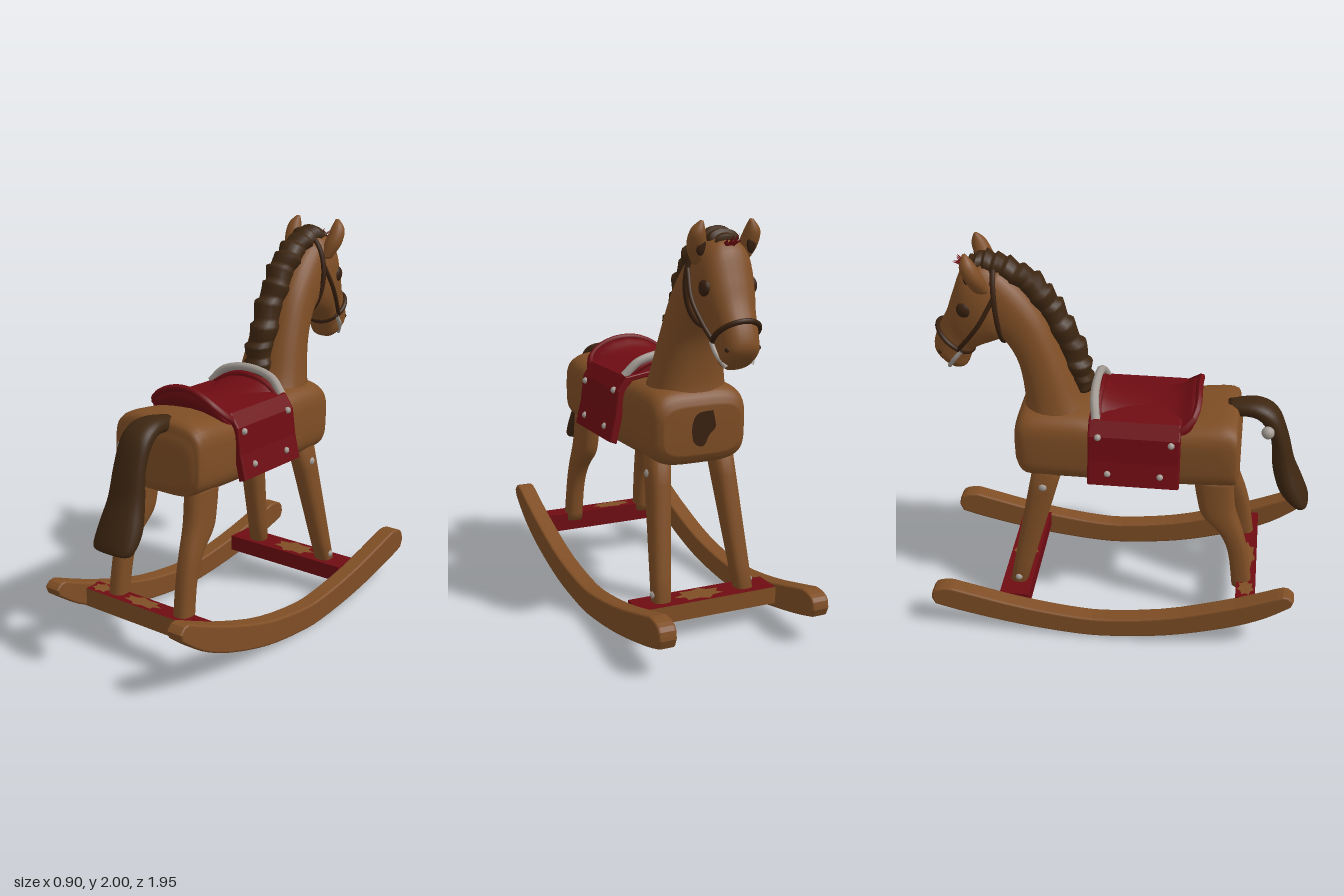
import * as THREE from 'three';

const mat = (name, color, side = THREE.FrontSide) => {
  const m = new THREE.MeshStandardMaterial({ color, side });
  m.name = name;
  return m;
};

// Closed skin over cross-sections [zA, yA, zB, yB, halfWidth, xCentre]; A and B are opposite edges.
function loft(sections, { power = 2, sub = 4, n = 28 } = {}) {
  const S = [];
  const last = sections.length - 1;
  const cr = (a, b, c, d, t) => 0.5 * (2 * b + (c - a) * t + (2 * a - 5 * b + 4 * c - d) * t * t + (3 * b - a - 3 * c + d) * t * t * t);
  for (let i = 0; i < last; i++) {
    for (let k = 0; k < sub; k++) {
      const q = [i - 1, i, i + 1, i + 2].map(j => sections[Math.min(last, Math.max(0, j))]);
      S.push([0, 1, 2, 3, 4, 5].map(e => cr(...q.map(s => s[e] ?? 0), k / sub)));
    }
  }
  S.push([0, 1, 2, 3, 4, 5].map(e => sections[last][e] ?? 0));
  const pos = [], idx = [];
  const f = v => Math.sign(v) * Math.pow(Math.abs(v), 2 / power);
  for (const [za, ya, zb, yb, w, x] of S) {
    for (let j = 0; j < n; j++) {
      const t = j / n * Math.PI * 2, u = f(Math.cos(t)), v = f(Math.sin(t));
      pos.push(x + w * u, (ya + yb) / 2 + (ya - yb) / 2 * v, (za + zb) / 2 + (za - zb) / 2 * v);
    }
  }
  for (const s of [S[0], S[S.length - 1]]) pos.push(s[5], (s[1] + s[3]) / 2, (s[0] + s[2]) / 2);
  // facing follows the direction in which the sections advance
  let hand = 0;
  for (let i = 1; i < S.length; i++) {
    const a = S[i - 1], b = S[i];
    hand += -(b[0] - b[2]) * (b[1] + b[3] - a[1] - a[3]) + (b[1] - b[3]) * (b[0] + b[2] - a[0] - a[2]);
  }
  const tri = (a, b, c) => hand > 0 ? idx.push(a, b, c) : idx.push(a, c, b);
  const m = S.length, c0 = m * n;
  for (let j = 0; j < n; j++) {
    const k = (j + 1) % n;
    for (let i = 0; i < m - 1; i++) {
      tri(i * n + j, i * n + k, (i + 1) * n + j);
      tri(i * n + k, (i + 1) * n + k, (i + 1) * n + j);
    }
    tri(c0, k, j);
    tri(c0 + 1, (m - 1) * n + j, (m - 1) * n + k);
  }
  const g = new THREE.BufferGeometry();
  g.setAttribute('position', new THREE.Float32BufferAttribute(pos, 3));
  g.setIndex(idx);
  g.computeVertexNormals();
  return g;
}

const tube = (pts, r, closed = false) => new THREE.TubeGeometry(
  new THREE.CatmullRomCurve3(pts.map(p => new THREE.Vector3(...p)), closed), 48, r, 8, closed);

// Loop lying on an elliptical section from A to B
const ring = (za, ya, zb, yb, w) => Array.from({ length: 20 }, (_, j) => {
  const t = j / 20 * Math.PI * 2, s = Math.sin(t) / 2;
  return [w * Math.cos(t), (ya + yb) / 2 + (ya - yb) * s, (za + zb) / 2 + (za - zb) * s];
});

export function createModel() {
  const group = new THREE.Group();
  const wood = mat('wood', 0x7f4e25);
  const hair = mat('dark hair', 0x3d2611);
  const red = mat('red paint', 0x6e0c12, THREE.DoubleSide);
  const leather = mat('dark leather', 0x38200f, THREE.DoubleSide);
  const metal = mat('metal', 0xa39b94);
  const add = (name, geo, material, x = 0, y = 0, z = 0) => {
    const m = new THREE.Mesh(geo, material);
    m.name = name;
    m.position.set(x, y, z);
    group.add(m);
    return m;
  };
  const ball = r => new THREE.SphereGeometry(r, 14, 10);

  // Body, neck and head
  add('body', loft([
    [0.617, 1.08, 0.617, 0.89, 0.2], [0.605, 1.14, 0.605, 0.855, 0.24], [0.56, 1.205, 0.57, 0.835, 0.268],
    [0.3, 1.185, 0.3, 0.822, 0.262], [0, 1.175, 0, 0.815, 0.25], [-0.2, 1.2, -0.2, 0.815, 0.25],
    [-0.4, 1.2, -0.4, 0.818, 0.252], [-0.48, 1.17, -0.47, 0.83, 0.24], [-0.51, 1.11, -0.505, 0.88, 0.2],
  ], { power: 4, n: 48 }), wood);
  add('neck', loft([
    [-0.1, 1.1, -0.49, 1.1, 0.21], [-0.18, 1.23, -0.475, 1.22, 0.182], [-0.26, 1.44, -0.5, 1.4, 0.155],
    [-0.35, 1.65, -0.565, 1.52, 0.138], [-0.46, 1.8, -0.64, 1.58, 0.128], [-0.58, 1.9, -0.7, 1.7, 0.11],
  ], { power: 2.4 }), wood);
  add('head', loft([
    [-0.55, 1.87, -0.55, 1.62, 0.08], [-0.64, 1.925, -0.57, 1.53, 0.125], [-0.75, 1.895, -0.62, 1.5, 0.135],
    [-0.81, 1.76, -0.69, 1.47, 0.122], [-0.85, 1.65, -0.73, 1.44, 0.105], [-0.905, 1.54, -0.745, 1.4, 0.095],
    [-0.924, 1.46, -0.765, 1.355, 0.088], [-0.9, 1.41, -0.8, 1.34, 0.06],
  ], { power: 2.4 }), wood);

  // Scalloped mane: outer and inner edges sampled along the neck
  const edge = pts => new THREE.CatmullRomCurve3(pts.map(p => new THREE.Vector3(0, p[1], p[0])));
  const outer = edge([[-0.13, 1.25], [-0.15, 1.43], [-0.26, 1.68], [-0.37, 1.84], [-0.52, 1.93], [-0.64, 1.965], [-0.73, 1.93]]);
  const inner = edge([[-0.22, 1.25], [-0.3, 1.43], [-0.38, 1.62], [-0.48, 1.76], [-0.58, 1.84], [-0.66, 1.86], [-0.72, 1.88]]);
  const maneRows = [];
  for (let i = 0; i <= 78; i++) {
    const t = i / 78, a = outer.getPoint(t), b = inner.getPoint(t);
    const k = 0.9 + 0.18 * (i % 6) / 6;
    maneRows.push([b.z + (a.z - b.z) * k, b.y + (a.y - b.y) * k, b.z, b.y,
      0.075 * (0.84 + 0.2 * (i % 6) / 6) * (i > 72 ? 0.75 : 1), 0.006 * Math.sin(i * 0.5)]);
  }
  add('mane', loft(maneRows, { sub: 1, n: 18 }), hair);

  // Tail
  add('tail', loft([
    [0.54, 1.21, 0.54, 1.13, 0.05, 0.02], [0.68, 1.225, 0.66, 1.14, 0.075, 0.02], [0.79, 1.17, 0.72, 1.1, 0.085, 0.02],
    [0.85, 1.03, 0.765, 1.0, 0.088, 0.02], [0.89, 0.88, 0.78, 0.85, 0.1, 0.02],
    [0.94, 0.76, 0.82, 0.72, 0.12, 0.02], [0.978, 0.66, 0.89, 0.645, 0.115, 0.02], [0.965, 0.64, 0.93, 0.63, 0.07, 0.02],
  ], { power: 2.3 }), hair);
  add('tailPin', ball(0.033), metal, -0.07, 1.09, 0.745);

  // Chest patch
  const patch = new THREE.Shape(new THREE.SplineCurve([[-0.05, 1.09], [0.03, 1.08], [0.06, 1.02], [0.05, 0.94], [0, 0.92],
    [-0.03, 0.97], [-0.065, 1.01], [-0.05, 1.09]].map(p => new THREE.Vector2(...p))).getPoints(30));
  add('chestPatch', new THREE.ShapeGeometry(patch), leather, 0, 0, -0.515);

  for (const s of [-1, 1]) {
    // Legs
    add('rearLeg', loft([
      [0.59, 0.88, 0.39, 0.88, 0.055, s * 0.185], [0.6, 0.76, 0.41, 0.76, 0.056, s * 0.188], [0.615, 0.68, 0.44, 0.66, 0.056, s * 0.192],
      [0.655, 0.56, 0.525, 0.57, 0.05, s * 0.2], [0.685, 0.44, 0.58, 0.45, 0.046, s * 0.205], [0.715, 0.24, 0.61, 0.24, 0.046, s * 0.21],
    ], { power: 2.6, n: 20 }), wood);
    add('frontLeg', loft([
      [-0.27, 0.88, -0.425, 0.88, 0.06, s * 0.165], [-0.475, 0.15, -0.565, 0.15, 0.046, s * 0.225],
    ], { power: 2.6, n: 20 }), wood);
    add('upperLegBolt', ball(0.026), metal, s * 0.215, 0.775, -0.37);
    add('lowerLegBolt', ball(0.02), metal, s * 0.258, 0.21, -0.51);

    // Ears, eyes and nostrils
    add('ear', loft([
      [-0.61, 1.8, -0.69, 1.8, 0.03, s * 0.1], [-0.63, 1.88, -0.72, 1.87, 0.045, s * 0.127],
      [-0.67, 1.96, -0.74, 1.94, 0.036, s * 0.137], [-0.71, 2.0, -0.725, 1.995, 0.01, s * 0.125],
    ], { n: 16 }), wood);
    add('innerEar', ball(1), leather, s * 0.127, 1.9, -0.712).scale.set(0.026, 0.055, 0.018);
    add('eye', ball(1), leather, s * 0.113, 1.705, -0.735).scale.set(0.028, 0.042, 0.042);
    add('nostril', ball(0.013), leather, s * 0.076, 1.45, -0.88);

    // Bridle cheek strap and bit
    add('cheekStrap', tube([[s * 0.128, 1.78, -0.59], [s * 0.143, 1.65, -0.66], [s * 0.125, 1.55, -0.73], [s * 0.102, 1.48, -0.785]], 0.011), leather);
    add('bit', tube([[s * 0.1, 1.47, -0.77], [s * 0.094, 1.42, -0.81], [s * 0.064, 1.365, -0.845]], 0.011), metal);

    // Saddle studs
    for (const [z, y, x] of [[0.28, 1.11, 0.277], [-0.08, 1.13, 0.273], [0.23, 0.94, 0.302], [-0.03, 0.94, 0.302]])
      add('saddleStud', ball(0.017), metal, s * x, y, z);
  }
  add('browBand', tube(ring(-0.6, 1.925, -0.565, 1.5, 0.135), 0.013, true), leather);
  add('noseBand', tube(ring(-0.9, 1.575, -0.735, 1.435, 0.107), 0.013, true), leather);

  // Red forelock tuft
  for (let i = 0; i < 6; i++) {
    const tuft = add('forelock', new THREE.ConeGeometry(0.018, 0.11, 6), red, 0.018 * (i % 3 - 1), 1.895, -0.75);
    tuft.rotation.set(-0.5 - 0.22 * i, 0, 0.3 * (1 - i % 3));
  }

  // Saddle cloth draped over the back
  const half = [[0.312, 0.885], [0.285, 1.0], [0.268, 1.13], [0.225, 1.195], [0.1, 1.215]];
  const under = half.map(([x, y]) => [x - 0.028, y - 0.012]).reverse();
  const flip = a => a.map(([x, y]) => [-x, y]).reverse();
  const cloth = new THREE.Shape([...half, ...flip(half), ...flip(under), ...under].map(p => new THREE.Vector2(...p)));
  add('saddleCloth', new THREE.ExtrudeGeometry(cloth, { depth: 0.435, bevelSize: 0.006, bevelThickness: 0.01, bevelSegments: 2 }), red, 0, 0, -0.12);

  // Padded seat, bent down at the sides
  const droop = g => {
    const p = g.attributes.position;
    for (let i = 0; i < p.count; i++) p.setY(i, p.getY(i) - 1.5 * p.getX(i) ** 2);
    g.computeVertexNormals();
    return g;
  };
  add('seat', droop(loft([
    [0.4, 1.29, 0.4, 1.25, 0.16], [0.37, 1.295, 0.37, 1.21, 0.22], [0.3, 1.255, 0.3, 1.17, 0.24], [0.18, 1.235, 0.18, 1.15, 0.248],
    [0.05, 1.24, 0.05, 1.15, 0.248], [-0.05, 1.255, -0.05, 1.16, 0.24], [-0.1, 1.275, -0.1, 1.19, 0.2],
  ], { power: 3 })), red);
  add('seatPiping', droop(tube([[-0.2, 1.285, 0.38], [0, 1.3, 0.395], [0.2, 1.285, 0.38], [0.24, 1.24, 0.28], [0.25, 1.22, 0.1], [0.23, 1.25, -0.07],
    [0, 1.27, -0.09], [-0.23, 1.25, -0.07], [-0.25, 1.22, 0.1], [-0.24, 1.24, 0.28]], 0.018, true)), red);
  add('pommel', tube([[-0.225, 1.2, -0.095], [-0.15, 1.27, -0.11], [0, 1.3, -0.115], [0.15, 1.27, -0.11], [0.225, 1.2, -0.095]], 0.022), metal);

  // Rockers: curved boards, the right one slightly longer
  const curve = pts => new THREE.SplineCurve(pts.map(([z, y]) => new THREE.Vector2(-z, y))).getPoints(32);
  const board = new THREE.Shape([
    ...curve([[0.94, 0.325], [0.8, 0.225], [0.6, 0.135], [0.3, 0.05], [0, 0.012], [-0.2, 0.013], [-0.5, 0.05], [-0.8, 0.113], [-0.95, 0.155]]),
    ...curve([[-0.965, 0.19], [-0.95, 0.24], [-0.88, 0.258], [-0.8, 0.24], [-0.5, 0.165], [-0.2, 0.118], [0, 0.115], [0.3, 0.16], [0.6, 0.255], [0.8, 0.335], [0.91, 0.38], [0.95, 0.355]]),
  ]);
  const rocker = () => new THREE.ExtrudeGeometry(board, { depth: 0.066, bevelSize: 0.011, bevelThickness: 0.012, bevelSegments: 3 })
    .translate(0, 0, -0.033).rotateY(Math.PI / 2);
  add('rightRocker', rocker(), wood, 0.405, 0, 0);
  add('leftRocker', rocker(), wood, -0.41, 0.01, 0).scale.set(1, 0.9, 0.965);

  // Cross bars, painted on some faces, with worn areas on top
  add('frontBar', new THREE.BoxGeometry(0.73, 0.085, 0.155), [red, red, red, wood, red, wood], 0, 0.135, -0.52);
  add('rearBar', new THREE.BoxGeometry(0.75, 0.095, 0.1), [red, red, red, red, wood, red], 0, 0.23, 0.685);
  const worn = (w, d) => new THREE.ShapeGeometry(new THREE.Shape(Array.from({ length: 14 }, (_, i) => {
    const a = i / 14 * Math.PI * 2, r = 1 - 0.3 * (i % 2);
    return new THREE.Vector2(w * r * Math.cos(a), d * r * Math.sin(a));
  }))).rotateX(-Math.PI / 2);
  add('wornPaint', worn(0.13, 0.07), wood, 0.02, 0.18, -0.52);
  add('wornPaint', worn(0.12, 0.045), wood, -0.03, 0.28, 0.685);
  add('wornPaint', worn(0.06, 0.045), wood, -0.3, 0.28, 0.685);
  return group;
}
